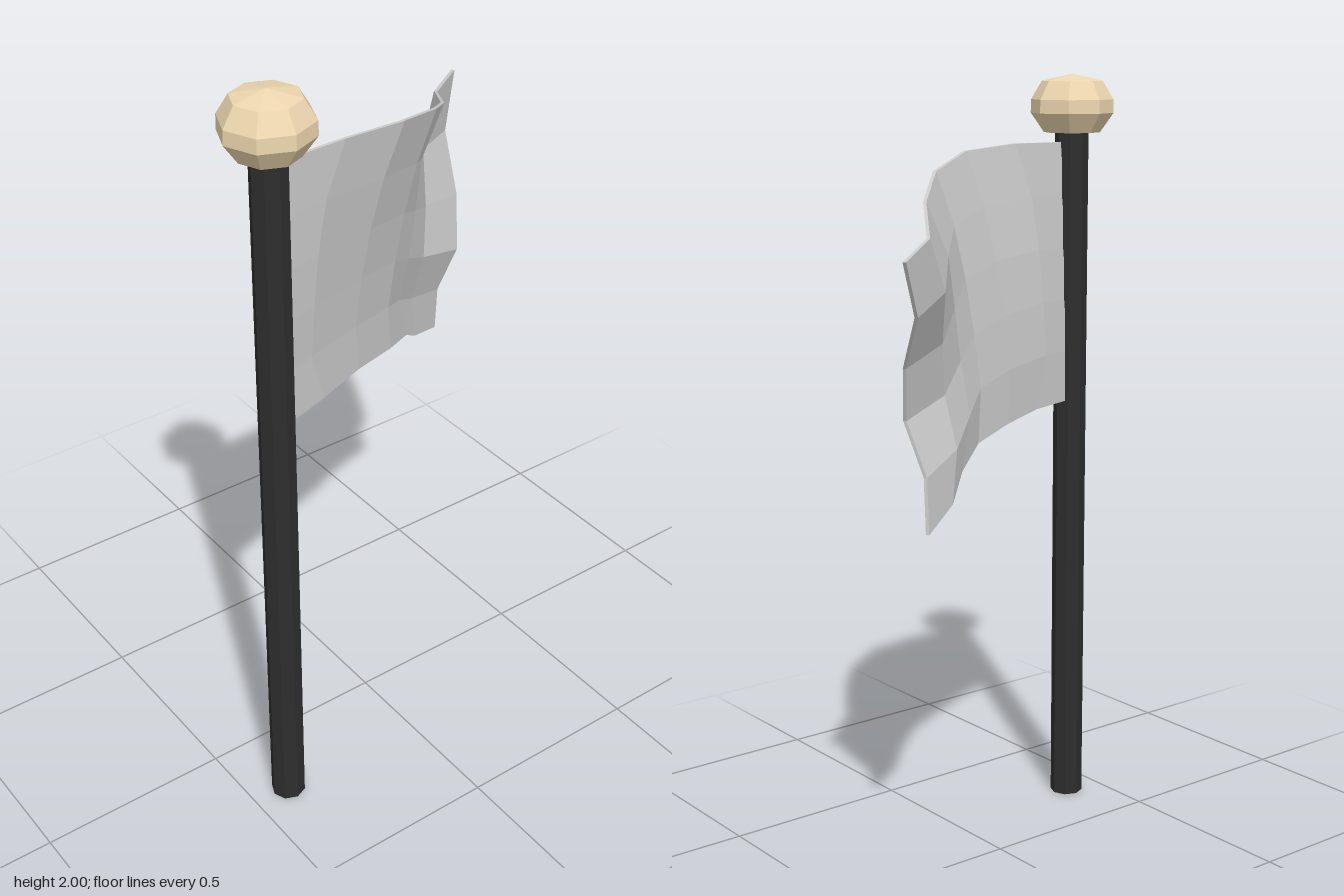
import * as THREE from 'three';

const POLE_X = -0.4, POLE_Z = 0.2;

function addPart(group, name, geometry, color, flatShading = true) {
  const mesh = new THREE.Mesh(geometry, new THREE.MeshStandardMaterial({ color, flatShading }));
  mesh.name = name;
  group.add(mesh);
  return mesh;
}

// Each flag column, from pole to free edge: top point, bottom point, bulge in x and in z
const COLUMNS = [
  { top: [-0.39, 1.825, 0.2], bottom: [-0.39, 1.138, 0.19], bulge: [0, 0] },
  { top: [-0.2, 1.827, 0.195], bottom: [-0.23, 1.138, 0.14], bulge: [-0.05, 0] },
  { top: [-0.03, 1.815, 0.18], bottom: [-0.08, 1.128, 0.075], bulge: [-0.035, -0.01] },
  { top: [0.12, 1.775, 0.105], bottom: [0.06, 1.106, 0.018], bulge: [-0.035, -0.005] },
  { top: [0.235, 1.715, -0.01], bottom: [0.17, 1.065, -0.06], bulge: [-0.06, 0.03] },
  { top: [0.35, 1.65, -0.18], bottom: [0.245, 1.005, -0.12], bulge: [-0.05, 0.065] },
  { top: [0.51, 1.62, -0.31], bottom: [0.36, 0.96, -0.18], bulge: [-0.045, 0.117] },
];
// How strongly each row, from top to bottom, follows the bulge
const ROW_X = [0, 0.8, 1, 1, 0.9, 0];
const ROW_Z = [0, 0.2, 0.85, 1, 0.4, 0];
const COLS = COLUMNS.length - 1, ROWS = ROW_X.length - 1;

// Point of the cloth; side is +1 on the front sheet and -1 on the back sheet
function clothPoint(c, r, side) {
  const { top, bottom, bulge } = COLUMNS[c];
  const p = new THREE.Vector3(...top).lerp(new THREE.Vector3(...bottom), r / ROWS);
  p.x += bulge[0] * ROW_X[r] + side * 0.002;
  p.z += bulge[1] * ROW_Z[r] + side * 0.004;
  return p;
}

// Two parallel sheets joined by a rim, each quad with one flat normal
function flagGeometry() {
  const positions = [], normals = [], indices = [];

  // Corners a, b, c, d run anticlockwise; flip turns the face but keeps the a-c diagonal
  function quad(a, b, c, d, flip = false) {
    const corners = flip ? [a, d, c, b] : [a, b, c, d];
    const normal = corners[2].clone().sub(corners[0])
      .cross(corners[3].clone().sub(corners[1])).normalize();
    const start = positions.length / 3;
    for (const p of corners) {
      positions.push(p.x, p.y, p.z);
      normals.push(normal.x, normal.y, normal.z);
    }
    indices.push(start, start + 1, start + 2, start, start + 2, start + 3);
  }

  // Front and back sheets
  for (const side of [1, -1]) {
    for (let c = 0; c < COLS; c++) {
      for (let r = 0; r < ROWS; r++) {
        quad(clothPoint(c, r, side), clothPoint(c, r + 1, side),
          clothPoint(c + 1, r + 1, side), clothPoint(c + 1, r, side), side < 0);
      }
    }
  }

  // Rim strip between the sheets along one border step
  const rim = (c0, r0, c1, r1) => quad(clothPoint(c0, r0, 1), clothPoint(c0, r0, -1),
    clothPoint(c1, r1, -1), clothPoint(c1, r1, 1));
  for (let c = 0; c < COLS; c++) {
    rim(c + 1, 0, c, 0);
    rim(c, ROWS, c + 1, ROWS);
  }
  for (let r = 0; r < ROWS; r++) {
    rim(0, r, 0, r + 1);
    rim(COLS, r + 1, COLS, r);
  }

  const geometry = new THREE.BufferGeometry();
  geometry.setAttribute('position', new THREE.Float32BufferAttribute(positions, 3));
  geometry.setAttribute('normal', new THREE.Float32BufferAttribute(normals, 3));
  geometry.setIndex(indices);
  return geometry;
}

export function createModel() {
  const group = new THREE.Group();
  group.name = 'flagOnPole';

  // Eight-sided pole
  const pole = addPart(group, 'pole', new THREE.CylinderGeometry(0.044, 0.044, 1.86, 8), 0x2e2e2e);
  pole.position.set(POLE_X, 0.93, POLE_Z);

  // Faceted knob on top of the pole
  const profile = [[0, 1.85], [0.074, 1.85], [0.109, 1.9], [0.108, 1.935], [0.08, 1.982], [0, 2]]
    .map(([r, y]) => new THREE.Vector2(r, y));
  const knob = addPart(group, 'finial', new THREE.LatheGeometry(profile, 8), 0xecd6ae);
  knob.position.set(POLE_X, 0, POLE_Z);

  // Waving cloth
  addPart(group, 'flag', flagGeometry(), 0xcccccc, false);

  return group;
}
